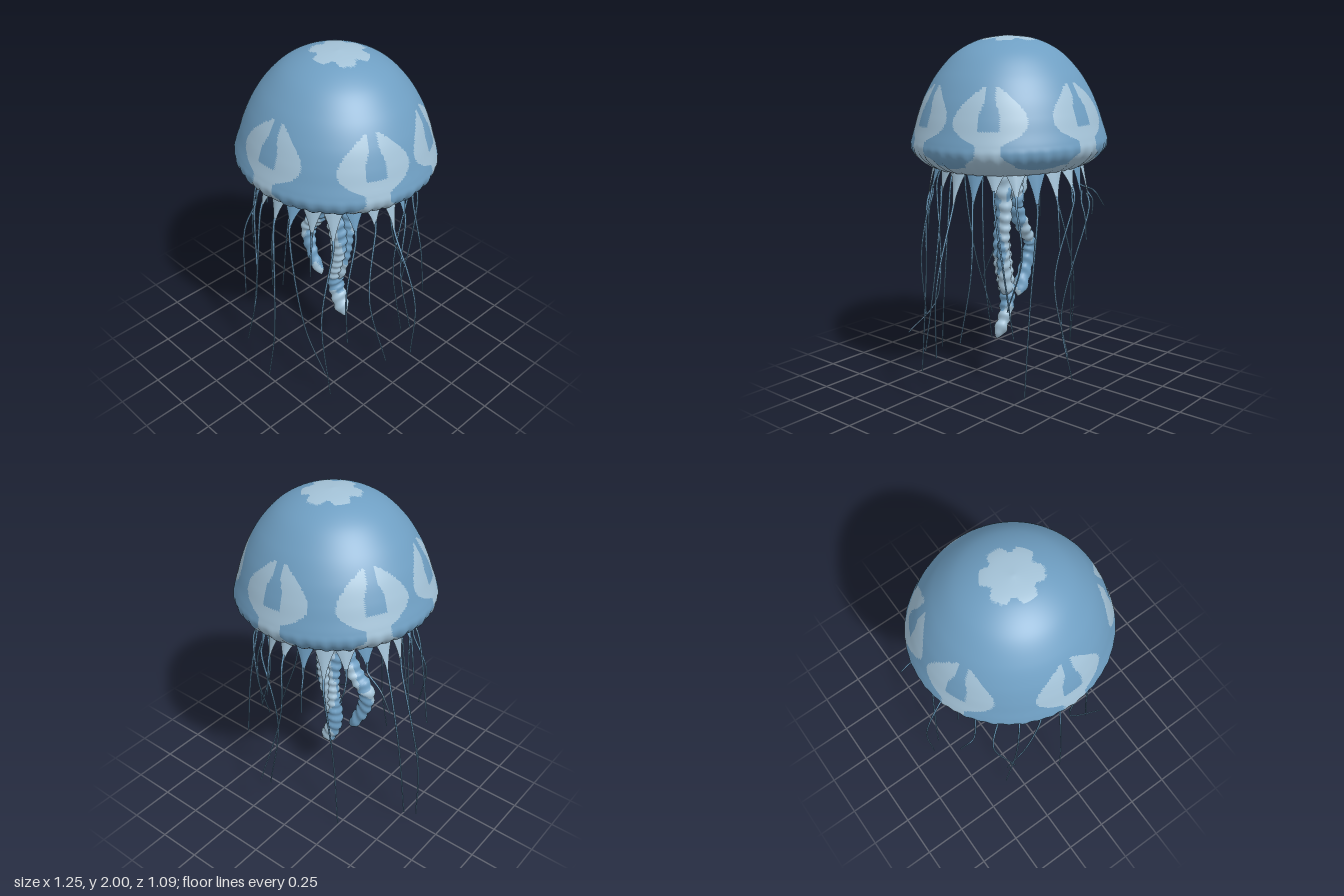
import * as THREE from 'three';
import { mergeVertices } from 'three/addons/utils/BufferGeometryUtils.js';

const material = (name, color) => {
  const m = new THREE.MeshStandardMaterial({ color, side: THREE.DoubleSide });
  m.name = name;
  return m;
};
const V = (x, y, z) => new THREE.Vector3(x, y, z);
const smooth = (e0, e1, x) => THREE.MathUtils.smoothstep(x, e0, e1);

// Sort faces into two groups: 1 where isLight(centroid) holds, otherwise 0
function paint(geometry, isLight) {
  geometry.deleteAttribute('uv');
  geometry.deleteAttribute('normal');
  const g = mergeVertices(geometry, 1e-5);
  const p = g.attributes.position, idx = g.index.array, sets = [[], []];
  const c = V(), v = V();
  for (let i = 0; i < idx.length; i += 3) {
    c.set(0, 0, 0);
    for (let j = 0; j < 3; j++) c.add(v.fromBufferAttribute(p, idx[i + j]));
    sets[isLight(c.divideScalar(3)) ? 1 : 0].push(idx[i], idx[i + 1], idx[i + 2]);
  }
  g.setIndex([...sets[0], ...sets[1]]);
  g.clearGroups();
  g.addGroup(0, sets[0].length, 0);
  g.addGroup(sets[0].length, sets[1].length, 1);
  g.computeVertexNormals();
  return g;
}

// Tube whose radius follows radiusAt(u, angle)
function sweep(points, rings, sides, radiusAt) {
  const curve = new THREE.CatmullRomCurve3(points);
  const g = new THREE.TubeGeometry(curve, rings, 1, sides, false);
  const p = g.attributes.position, v = V();
  for (let i = 0; i <= rings; i++) {
    const centre = curve.getPointAt(i / rings);
    for (let j = 0; j <= sides; j++) {
      const k = i * (sides + 1) + j;
      v.fromBufferAttribute(p, k).sub(centre);
      v.multiplyScalar(radiusAt(i / rings, (j / sides) * Math.PI * 2)).add(centre);
      p.setXYZ(k, v.x, v.y, v.z);
    }
  }
  g.computeVertexNormals();
  return g;
}

// Light markings on the bell: crown flower, six keyhole patches, rim
const patchAngles = [2, 68, 119, 180, -119, -67].map(THREE.MathUtils.degToRad);
function bellMarking(p) {
  if (p.y > 1.9) {
    const b = Math.atan2(p.x, p.z + 0.012), r = Math.hypot(p.x, p.z + 0.012);
    return r < 0.146 + 0.02 * Math.cos(6 * b) - 0.008 * Math.cos(12 * b);
  }
  const a = Math.atan2(p.x, p.z);
  const d = 0.5 * Math.min(...patchAngles.map(c => Math.abs(Math.atan2(Math.sin(a - c), Math.cos(a - c)))));
  if (p.y < 1.365 - 0.03 * smooth(0.05, 0.25, d)) return true;
  if (p.y < 1.5 && d < 0.065 + 0.06 * (1 - smooth(1.36, 1.42, p.y))) return true;
  const notch = p.y > 1.54 && d < 0.028 + 0.026 * (1 - smooth(1.62, 1.7, p.y));
  const h = Math.abs(p.y - 1.58) / (p.y > 1.58 ? 0.19 : 0.125);
  return !notch && d / 0.2 + h ** 1.9 * 0.9 < 1 && p.y < 1.757;
}

// Hanging flap, a concave triangle bent around the rim
function flapGeometry(angle, tip) {
  const rows = 10, cols = 4, pos = [], idx = [];
  for (let i = 0; i <= rows; i++) {
    const t = i / rows, w = 0.054 * (1 - t) ** 1.8 + 0.004;
    const r = THREE.MathUtils.lerp(0.41, tip.r, t);
    for (let j = 0; j <= cols; j++) {
      const s = j / cols * 2 - 1, a = angle + s * w / r;
      const bulge = 0.012 * (1 - s * s) * (1 - t);
      pos.push(Math.sin(a) * (r + bulge), THREE.MathUtils.lerp(1.305, tip.y, t), Math.cos(a) * (r + bulge));
      if (i < rows && j < cols) {
        const n = i * (cols + 1) + j, m = n + cols + 1;
        idx.push(n, m, n + 1, n + 1, m, m + 1);
      }
    }
  }
  const g = new THREE.BufferGeometry();
  g.setAttribute('position', new THREE.Float32BufferAttribute(pos, 3));
  g.setIndex(idx);
  g.computeVertexNormals();
  return g;
}

export function createModel() {
  const blue = material('blue', 0x6f9fc3);
  const light = material('paleBlue', 0xa4c3d8);
  const model = new THREE.Group();
  const add = (name, geometry, mat, parent = model) => {
    const mesh = new THREE.Mesh(geometry, mat);
    mesh.name = name;
    parent.add(mesh);
    return mesh;
  };
  const lathe = (pts, rings, sides) => new THREE.LatheGeometry(
    new THREE.SplineCurve(pts.map(([x, y]) => new THREE.Vector2(x, y))).getPoints(rings)
      .map(q => q.setX(Math.max(q.x, 0))), sides);

  // Bell, an open shell with ribbed rim, leaning slightly and a little narrower front to back
  const bellGroup = new THREE.Group();
  bellGroup.name = 'bell';
  bellGroup.position.set(0, 1.4, -0.008);
  bellGroup.rotation.z = -0.03;
  bellGroup.scale.z = 0.97;
  model.add(bellGroup);
  const dome = lathe([[0.39, 1.29], [0.445, 1.308], [0.5, 1.343], [0.541, 1.385], [0.555, 1.425], [0.547, 1.465],
    [0.529, 1.52], [0.503, 1.6], [0.46, 1.7], [0.39, 1.81], [0.285, 1.915], [0.15, 1.98], [0, 2]], 110, 240);
  const dp = dome.attributes.position;
  for (let i = 0; i < dp.count; i++) {
    const a = Math.atan2(dp.getX(i), dp.getZ(i));
    const rib = 0.006 * Math.sin(48 * a + Math.sin(5 * a)) + 0.003 * Math.sin(24 * a + 1);
    const k = 1 + rib * (1 - smooth(1.34, 1.46, dp.getY(i))) / 0.5;
    dp.setX(i, dp.getX(i) * k);
    dp.setZ(i, dp.getZ(i) * k);
  }
  add('bellDome', paint(dome, bellMarking), [blue, light], bellGroup).position.y = -1.4;

  // Tentacles: rim slot, middle point, end point
  const tentacles = [
    [0, 0.02, 0.4, 0.5, 0, 0.08, 0.54], [1, 0.18, 0.47, 0.4, 0.38, 0.3, 0.44],
    [3, 0.29, 0.6, 0.38, 0.345, 0.06, 0.37], [4, 0.4, 0.8, 0.3, 0.39, 0.44, 0.28],
    [5, 0.44, 0.7, 0.16, 0.55, 0.31, 0.13], [6, 0.61, 0.7, -0.02, 0.61, 0.32, -0.01],
    [7, 0.43, 0.75, -0.1, 0.52, 0.4, -0.1], [8, 0.4, 0.8, -0.3, 0.39, 0.44, -0.36],
    [9, 0.3, 0.85, -0.34, 0.31, 0.55, -0.25], [10, 0.19, 0.55, -0.31, 0.26, 0.06, -0.33],
    [12, 0.09, 0.7, -0.4, 0.14, 0.31, -0.53], [14, -0.18, 0.4, -0.25, -0.24, 0, -0.29],
    [15, -0.33, 1.08, -0.35, -0.31, 1, -0.36], [16, -0.49, 1.1, -0.25, -0.57, 1, -0.27],
    [17, -0.51, 0.6, -0.08, -0.55, 0.1, -0.05], [18, -0.61, 0.5, -0.03, -0.61, 0.09, -0.01],
    [20, -0.44, 0.85, 0.25, -0.51, 0.6, 0.2], [21, -0.38, 0.85, 0.36, -0.29, 0.49, 0.45],
    [22, -0.25, 0.5, 0.4, -0.34, 0.07, 0.42], [23, -0.2, 0.65, 0.43, -0.31, 0.26, 0.39],
  ];
  for (let k = 0; k < 24; k++) {
    const a = k * Math.PI / 12;
    const tip = { r: 0.45 + 0.012 * Math.sin(k * 2.3), y: 1.12 + 0.04 * Math.sin(k * 1.7) };
    const at = (r, y) => V(Math.sin(a) * r, y, Math.cos(a) * r);
    add('rimFlap', flapGeometry(a, tip), k % 3 === 1 ? blue : light);
    const data = tentacles.find(t => t[0] === k);
    const path = [at(0.44, tip.y + 0.06), at(tip.r, tip.y)];
    if (data) path.push(V(...data.slice(1, 4)), V(...data.slice(4)));
    else path.push(at(0.46, 1.03), at(0.47, 0.9));
    add('tentacle', sweep(path, 40, 6, u => 0.0065 - 0.003 * u), blue);
  }

  // Ruffled arms hanging inside the bell: path, thickness, ruffle count, share of blue
  const arms = [
    [[[-0.1, 1.6, 0], [-0.165, 1.32, 0.01], [-0.12, 1.17, 0.02], [-0.07, 1.05, 0.01], [-0.13, 0.91, 0], [-0.21, 0.8, 0.01],
      [-0.185, 0.66, 0.02], [-0.1, 0.49, 0.01]], 0.048, 17, 0.5],
    [[[0, 1.6, 0.02], [0.01, 1.3, 0.03], [0.025, 1.05, 0.025], [0.045, 0.8, 0.01], [0.01, 0.5, 0], [0.04, 0.39, 0], [0.095, 0.28, 0.01]], 0.054, 22, -0.2],
    [[[0.08, 1.6, -0.02], [0.1, 1.3, -0.03], [0.075, 1.05, -0.03], [0.065, 0.75, -0.02], [0.03, 0.52, -0.01]], 0.044, 16, 0],
    [[[-0.04, 1.6, -0.03], [-0.07, 1.3, -0.03], [-0.05, 1.15, -0.02], [-0.07, 1.02, -0.01]], 0.044, 10, 0.3],
  ];
  arms.forEach(([pts, size, ruffles, blueness], n) => {
    const radius = (u, a) => {
      const wave = Math.sin(u * ruffles * Math.PI * 2 + 1.6 * Math.sin(a + n) + 3 * Math.sin(u * 9));
      const end = Math.sqrt(Math.max(0, 1 - smooth(0.95, 1, u)));
      return size * (1.12 - 0.37 * u) * (1 + 0.1 * wave + 0.14 * Math.sin(2 * a + u * 14)) * end;
    };
    const g = sweep(pts.map(p => V(...p)), 180, 16, radius);
    // pale patches, mostly to the front, the back and the top
    const mottled = p => Math.sin(p.y * 17 + n * 2) - 0.9 * Math.sin(p.x * 40 - 1 + p.y * 5)
      - 0.9 * Math.cos(p.z * 50) + 0.9 * smooth(1.0, 1.25, p.y) > blueness - 0.3;
    add('oralArm', paint(g, mottled), [blue, light]);
  });
  return model;
}
